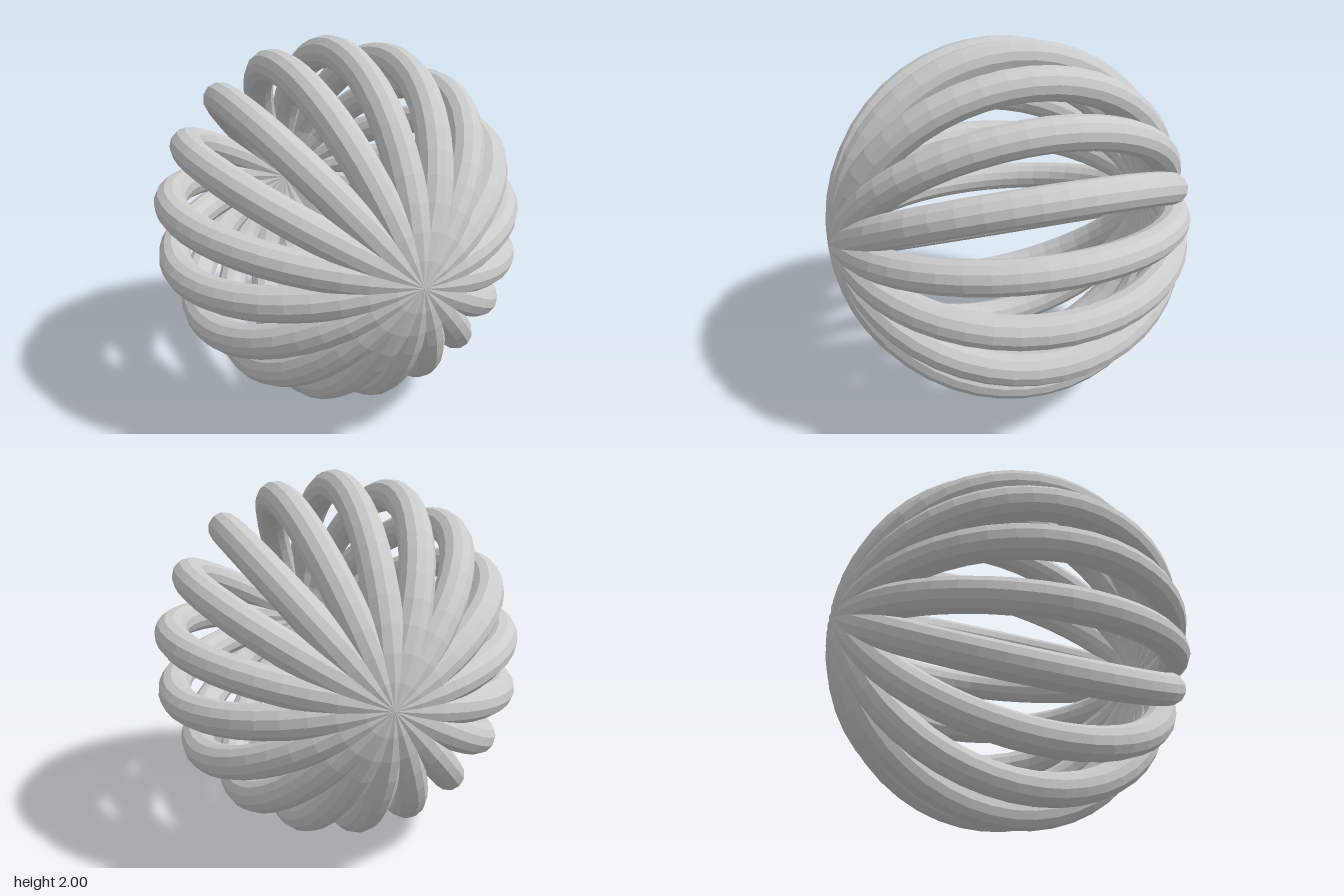
import * as THREE from 'three';

// Openwork ball: nine equal rings crossing at the front and back poles.
export function createModel() {
  const group = new THREE.Group();
  group.name = 'ringBall';

  const RINGS = 9;
  const TUBE = 0.087;
  const material = new THREE.MeshStandardMaterial({ color: 0xcccccc, flatShading: true });

  // One upright ring in the plane x = 0, so it passes through both poles
  const ringGeometry = new THREE.TorusGeometry(1 - TUBE, TUBE, 12, 48);
  ringGeometry.rotateY(Math.PI / 2);

  // Fan the rings around the front-to-back axis
  for (let i = 0; i < RINGS; i++) {
    const ring = new THREE.Mesh(ringGeometry, material);
    ring.name = `ring${i + 1}`;
    ring.position.y = 1;
    ring.rotation.z = (i * Math.PI) / RINGS;
    group.add(ring);
  }
  return group;
}
